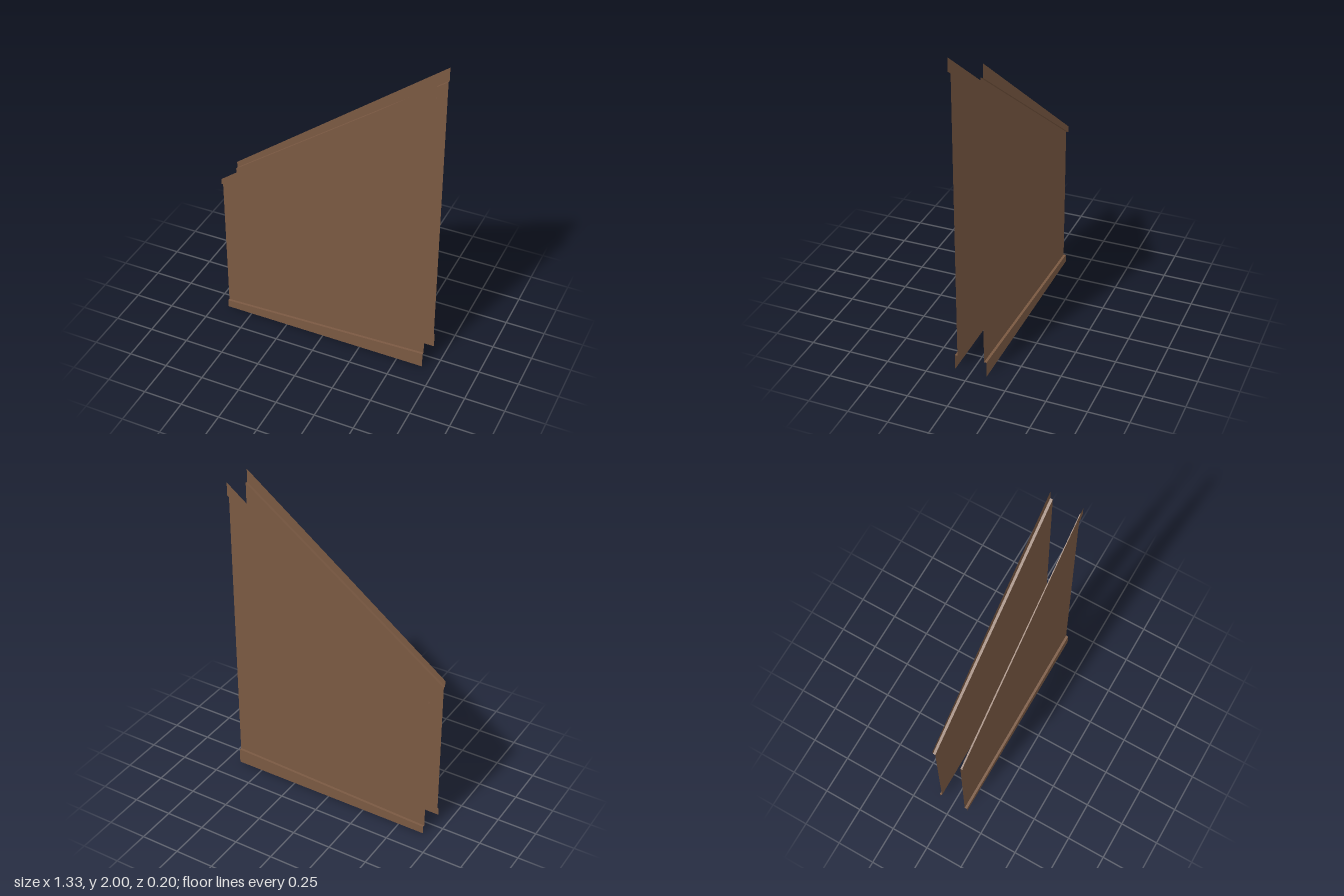
import * as THREE from 'three';

const HALF = 0.667;   // half the wall length
const OUTER = 0.1;    // z of the trim bands
const INNER = 0.084;  // z of the recessed panel

// Flat four-cornered sheet, corners counter-clockwise seen from its front
function sheet(name, material, corners) {
  const geometry = new THREE.BufferGeometry();
  geometry.setAttribute('position', new THREE.Float32BufferAttribute(corners.flat(), 3));
  geometry.setIndex([0, 1, 2, 0, 2, 3]);
  geometry.computeVertexNormals();
  const mesh = new THREE.Mesh(geometry, material);
  mesh.name = name;
  return mesh;
}

// Upright sheet between two sloping lines, each given as [y at -x end, y at +x end]
function upright(name, material, low, high, z) {
  return sheet(name, material, [
    [-HALF, low[0], z], [HALF, low[1], z], [HALF, high[1], z], [-HALF, high[0], z],
  ]);
}

// Narrow ledge joining the trim to the recessed panel along a sloping line
function ledge(name, material, line, up) {
  const corners = [
    [-HALF, line[0], OUTER], [HALF, line[1], OUTER],
    [HALF, line[1], INNER], [-HALF, line[0], INNER],
  ];
  return sheet(name, material, up ? corners : corners.reverse());
}

function createWall(name, material) {
  const wall = new THREE.Group();
  wall.name = name;
  const floor = [0, 0], skirtTop = [0.05, 0.1], trimBottom = [0.96, 1.917], roof = [1, 2];
  wall.add(
    upright('bottomTrim', material, floor, skirtTop, OUTER),
    ledge('bottomLedge', material, skirtTop, true),
    upright('panel', material, skirtTop, trimBottom, INNER),
    ledge('topLedge', material, trimBottom, false),
    upright('topTrim', material, trimBottom, roof, OUTER),
  );
  return wall;
}

export function createModel() {
  const wood = new THREE.MeshStandardMaterial({ color: 0x7a5942, side: THREE.DoubleSide });
  wood.name = 'brown wood';

  const model = new THREE.Group();
  model.name = 'slopedWallPair';
  const front = createWall('frontWall', wood);
  // The back wall mirrors the front one
  const back = createWall('backWall', wood);
  back.scale.z = -1;
  model.add(front, back);
  return model;
}
